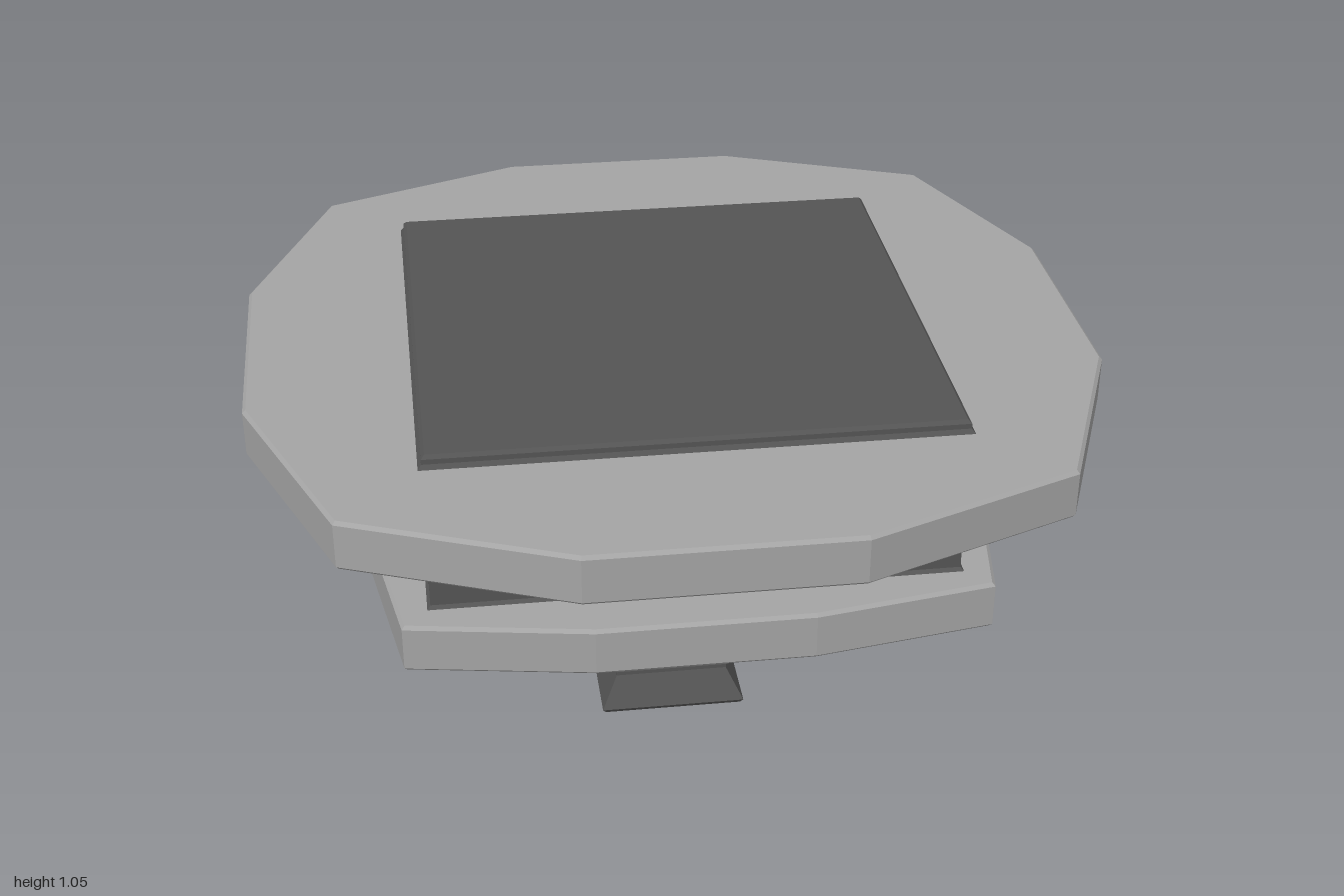
import * as THREE from 'three';

export function createModel() {
  const model = new THREE.Group();
  const lightGrey = new THREE.MeshStandardMaterial({ color: 0xa4a4a4 });
  lightGrey.name = 'lightGrey';
  const darkGrey = new THREE.MeshStandardMaterial({ color: 0x545454 });
  darkGrey.name = 'darkGrey';

  function add(name, geometry, material) {
    // separate the faces so every side is flat
    const flat = geometry.index ? geometry.toNonIndexed() : geometry;
    flat.computeVertexNormals();
    const mesh = new THREE.Mesh(flat, material);
    mesh.name = name;
    model.add(mesh);
  }

  // Square column: profile of [half width, height], bottom to top
  function square(name, profile, material) {
    const points = profile.map(([half, y]) => new THREE.Vector2(half * Math.SQRT2, y));
    add(name, new THREE.LatheGeometry(points, 4, Math.PI / 4), material);
  }

  // Twelve-sided plate with thin bevelled rims
  function plate(name, reach, corner, flat, bottom, top) {
    const outline = [];
    for (let i = 0; i < 4; i++) {
      const turn = i * Math.PI / 2;
      for (const [x, y] of [[reach, -flat], [reach, flat], [corner, corner]]) {
        outline.push(new THREE.Vector2(x, y).rotateAround(new THREE.Vector2(), turn));
      }
    }
    const bevel = 0.008;
    const geometry = new THREE.ExtrudeGeometry(new THREE.Shape(outline), {
      depth: top - bottom - 2 * bevel,
      bevelEnabled: true, bevelSegments: 1,
      bevelSize: bevel, bevelThickness: bevel, bevelOffset: -bevel,
    });
    geometry.rotateX(-Math.PI / 2).translate(0, bottom + bevel, 0);
    add(name, geometry, lightGrey);
  }

  // Flared foot with its underside
  square('footUnderside', [[0, 0], [0.175, 0]], lightGrey);
  square('foot', [[0.175, 0], [0.183, 0.012], [0.142, 0.09], [0.142, 0.1]], darkGrey);

  // Tapered neck and square post
  square('neck', [[0.142, 0.1], [0.3, 0.26]], lightGrey);
  square('post', [[0.3, 0.26], [0.3, 0.53], [0.31, 0.545]], lightGrey);

  // Two plates
  plate('lowerPlate', 0.745, 0.675, 0.25, 0.54, 0.66);
  plate('upperPlate', 1, 0.8, 0.3, 0.905, 1.025);

  // Core between the plates, and the panel on top
  square('core', [[0.62, 0.655], [0.608, 0.668], [0.608, 0.895], [0.62, 0.91]], darkGrey);
  square('topPanel', [[0.62, 1.02], [0.608, 1.035], [0.608, 1.047], [0.6, 1.055], [0, 1.055]], darkGrey);

  return model;
}
